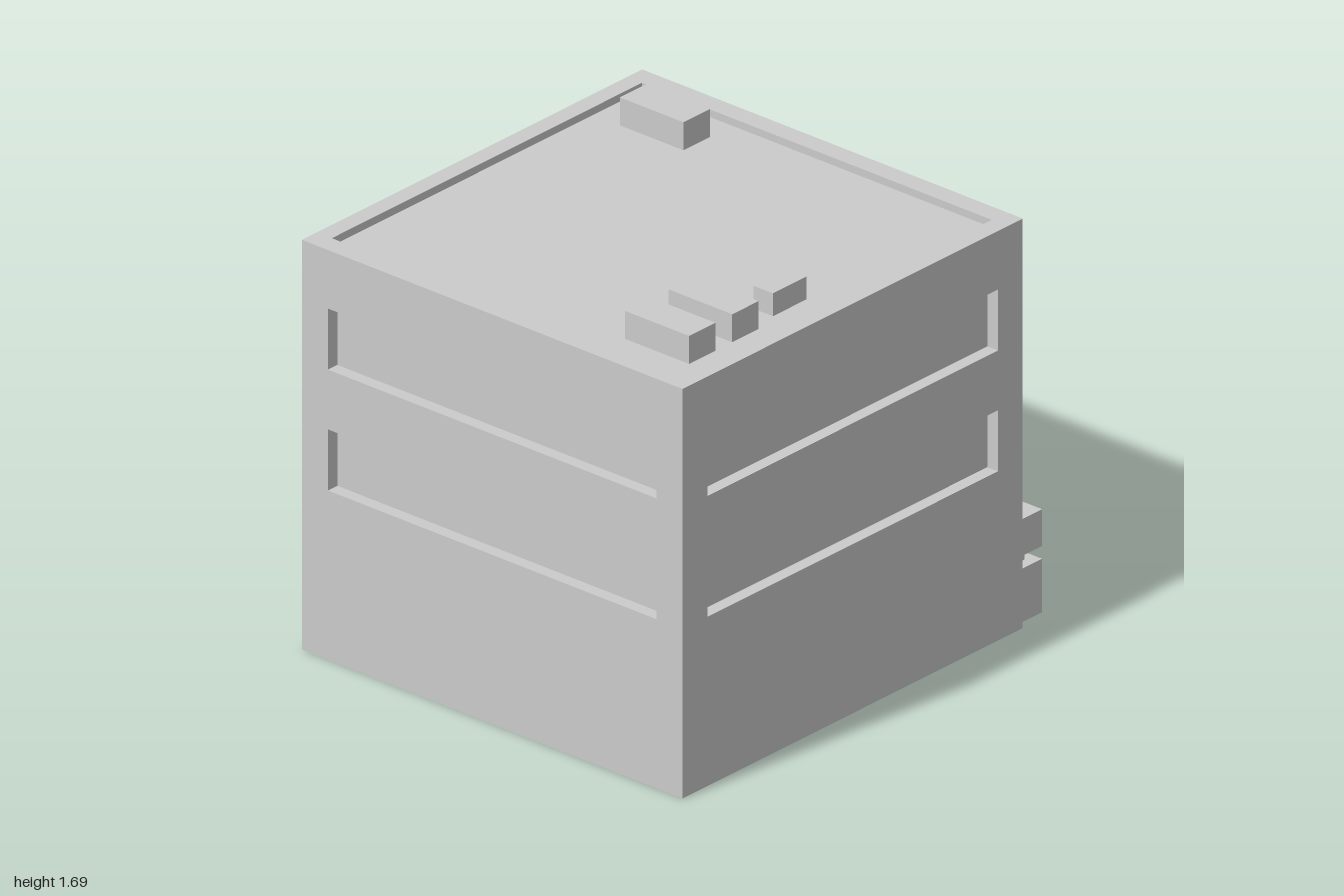
import * as THREE from 'three';

const grey = new THREE.MeshStandardMaterial({ color: 0xcccccc });
const shell = new THREE.MeshStandardMaterial({ color: 0xcccccc, side: THREE.DoubleSide });

// Body limits
const HX = 0.895, ZB = -0.81, ZF = 1, ZC = (ZB + ZF) / 2, HZ = (ZF - ZB) / 2;
const TOP = 1.61, ROOF = 1.58;

function box(parent, name, x0, x1, y0, y1, z0, z1) {
  const mesh = new THREE.Mesh(new THREE.BoxGeometry(x1 - x0, y1 - y0, z1 - z0), grey);
  mesh.position.set((x0 + x1) / 2, (y0 + y1) / 2, (z0 + z1) / 2);
  mesh.name = name;
  parent.add(mesh);
  return mesh;
}

function rect(Type, x0, x1, y0, y1) {
  return new Type([[x0, y0], [x1, y0], [x1, y1], [x0, y1]].map(([x, y]) => new THREE.Vector2(x, y)));
}

// Inward-facing box without its +z face
function recess({ x0, x1, y0, y1, depth, name }) {
  const g = new THREE.BoxGeometry(x1 - x0, y1 - y0, depth);
  const index = Array.from(g.index.array);
  index.splice(24, 6);
  g.setIndex(index.reverse());
  g.clearGroups();
  g.computeVertexNormals();
  g.translate((x0 + x1) / 2, (y0 + y1) / 2, -depth / 2);
  const mesh = new THREE.Mesh(g, shell);
  mesh.name = name;
  return mesh;
}

// Flat wall facing +z with sunken openings
function wall(name, half, openings) {
  const group = new THREE.Group();
  group.name = name;
  const shape = rect(THREE.Shape, -half, half, 0, TOP);
  for (const o of openings) {
    shape.holes.push(rect(THREE.Path, o.x0, o.x1, o.y0, o.y1));
    group.add(recess(o));
  }
  const panel = new THREE.Mesh(new THREE.ShapeGeometry(shape), shell);
  panel.name = name + 'Panel';
  group.add(panel);
  return group;
}

export function createModel() {
  const model = new THREE.Group();
  model.name = 'officeBuilding';

  // Four walls, each with two long window bands; the back one has the doorway
  const windows = [0.665, 1.14].map((y) => ({
    x0: -0.773, x1: 0.773, y0: y, y1: y + 0.24, depth: 0.05, name: 'windowBand',
  }));
  const doorway = { x0: -0.72, x1: -0.07, y0: 0.065, y1: 0.58, depth: 0.2, name: 'doorway' };
  const walls = [
    ['frontWall', HX, windows, 0, ZF, 0],
    ['leftWall', HZ, windows, HX, ZC, Math.PI / 2],
    ['backWall', HX, [...windows, doorway], 0, ZB, Math.PI],
    ['rightWall', HZ, windows, -HX, ZC, -Math.PI / 2],
  ];
  for (const [name, half, openings, x, z, turn] of walls) {
    const w = wall(name, half, openings);
    w.position.set(x, 0, z);
    w.rotation.y = turn;
    model.add(w);
  }

  // Roof rim around a slightly sunken roof
  const rim = rect(THREE.Shape, -HX, HX, -ZF, -ZB);
  rim.holes.push(rect(THREE.Path, -0.825, 0.82, -0.92, 0.73));
  const rimMesh = new THREE.Mesh(new THREE.ShapeGeometry(rim), shell);
  rimMesh.name = 'roofRim';
  rimMesh.rotation.x = -Math.PI / 2;
  rimMesh.position.y = TOP;
  model.add(rimMesh);
  const roof = recess({ x0: -0.825, x1: 0.82, y0: -0.92, y1: 0.73, depth: TOP - ROOF, name: 'sunkenRoof' });
  roof.rotation.x = -Math.PI / 2;
  roof.position.y = TOP;
  model.add(roof);

  // Roof units: x0, x1, z0, z1, top
  const units = [
    [-0.7, -0.4, -0.61, -0.47, 1.69],
    [0.44, 0.74, 0.42, 0.56, 1.69],
    [0.44, 0.74, 0.65, 0.79, 1.69],
    [0.62, 0.71, 0.13, 0.31, 1.67],
  ];
  for (const [x0, x1, z0, z1, top] of units) box(model, 'roofUnit', x0, x1, ROOF, top, z0, z1);

  // Entrance: canopy, steps and two stacked pillars
  const entrance = new THREE.Group();
  entrance.name = 'entrance';
  model.add(entrance);
  box(entrance, 'canopy', 0.07, 0.715, 0.58, 0.615, -1, ZB);
  box(entrance, 'lowerStep', 0.05, 0.725, 0, 0.03, -0.965, -0.905);
  box(entrance, 'upperStep', 0.05, 0.725, 0, 0.065, -0.905, ZB);
  for (const x of [-0.015, 0.795]) {
    box(entrance, 'pillarBase', x - 0.067, x + 0.067, 0, 0.21, -0.95, ZB);
    box(entrance, 'pillarNeck', x - 0.025, x + 0.025, 0.21, 0.26, -0.905, -0.855);
    box(entrance, 'pillarCap', x - 0.067, x + 0.067, 0.26, 0.405, -0.95, ZB);
  }
  return model;
}
